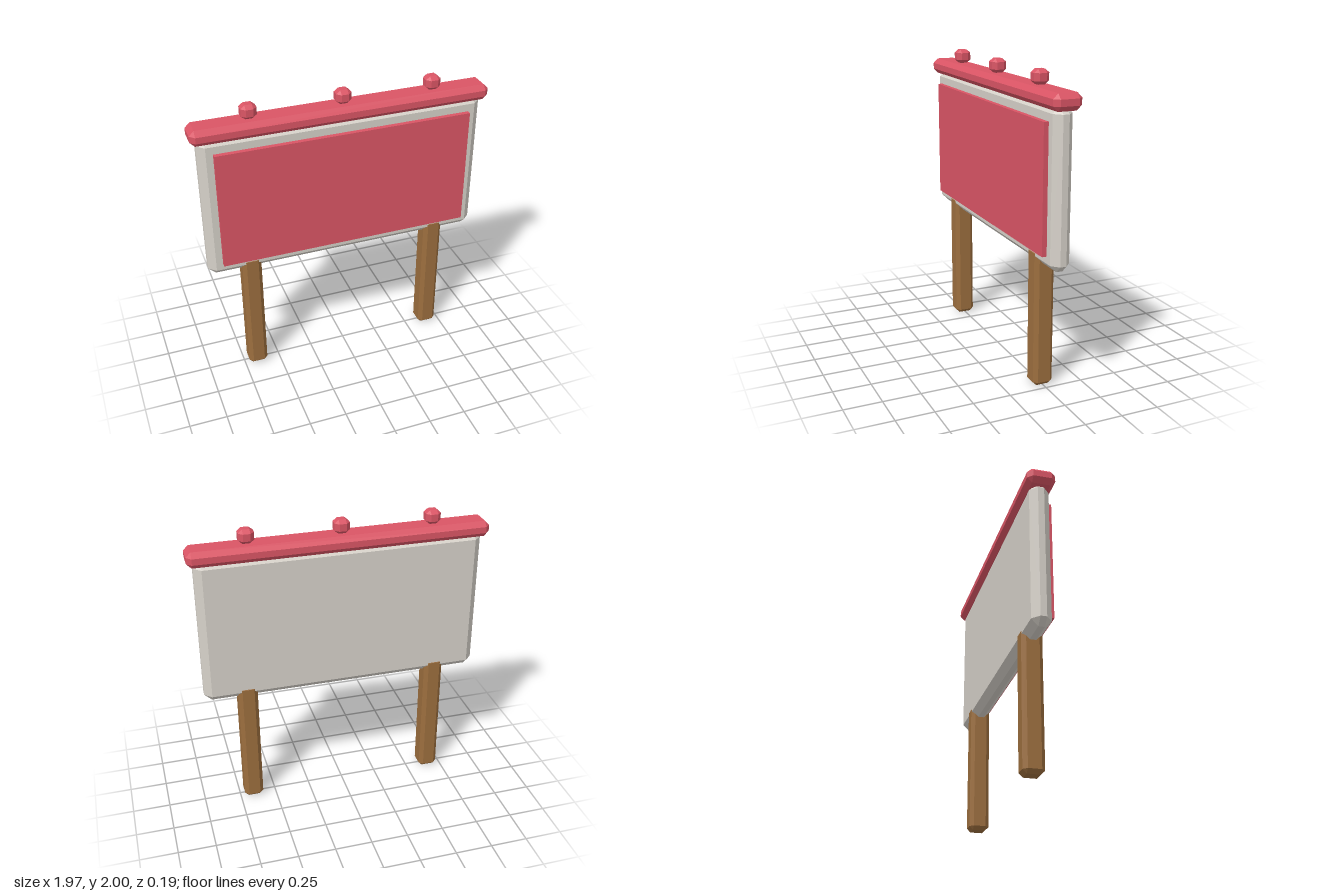
import * as THREE from 'three';
import { ConvexGeometry } from 'three/addons/geometries/ConvexGeometry.js';

// Box with all twelve edges cut; cx, cy, cz are the cut sizes along each axis
function chamferBox(w, h, d, cx, cy = cx, cz = cx) {
  const points = [];
  const [a, b, c] = [w / 2, h / 2, d / 2];
  for (const x of [-1, 1]) for (const y of [-1, 1]) for (const z of [-1, 1]) {
    points.push(
      new THREE.Vector3(x * a, y * (b - cy), z * (c - cz)),
      new THREE.Vector3(x * (a - cx), y * b, z * (c - cz)),
      new THREE.Vector3(x * (a - cx), y * (b - cy), z * c)
    );
  }
  return new ConvexGeometry(points);
}

function makeMaterial(name, color) {
  const material = new THREE.MeshStandardMaterial({ color });
  material.name = name;
  return material;
}

export function createModel() {
  const group = new THREE.Group();
  group.name = 'billboard';
  const red = makeMaterial('red paint', 0xda5565);
  const grey = makeMaterial('pale grey board', 0xd6d1c9);
  const brown = makeMaterial('brown wood', 0x9c6e3e);

  const add = (name, geometry, material, x, y, z) => {
    const mesh = new THREE.Mesh(geometry, material);
    mesh.name = name;
    mesh.position.set(x, y, z);
    group.add(mesh);
  };

  // Board, its top edge tucked into the cap rail
  add('board', chamferBox(1.885, 0.995, 0.128, 0.048, 0.045, 0.044), grey, 0, 1.3275, 0);

  // Raised panel on the front only
  add('frontPanel', new THREE.BoxGeometry(1.7, 0.81, 0.035), red, 0, 1.325, 0.0775);

  // Cap rail along the top
  add('capRail', chamferBox(1.965, 0.105, 0.184, 0.032), red, 0, 1.8525, 0);

  // Knobs on the cap rail
  const knob = chamferBox(0.1, 0.092, 0.1, 0.027, 0.022, 0.027);
  for (const x of [-0.605, 0, 0.605]) add('knob', knob, red, x, 1.954, 0);

  // Posts, slightly thicker than the board
  const post = chamferBox(0.13, 0.915, 0.134, 0.025);
  for (const side of [-1, 1]) add(side > 0 ? 'leftPost' : 'rightPost', post, brown, side * 0.655, 0.4575, 0);

  return group;
}
